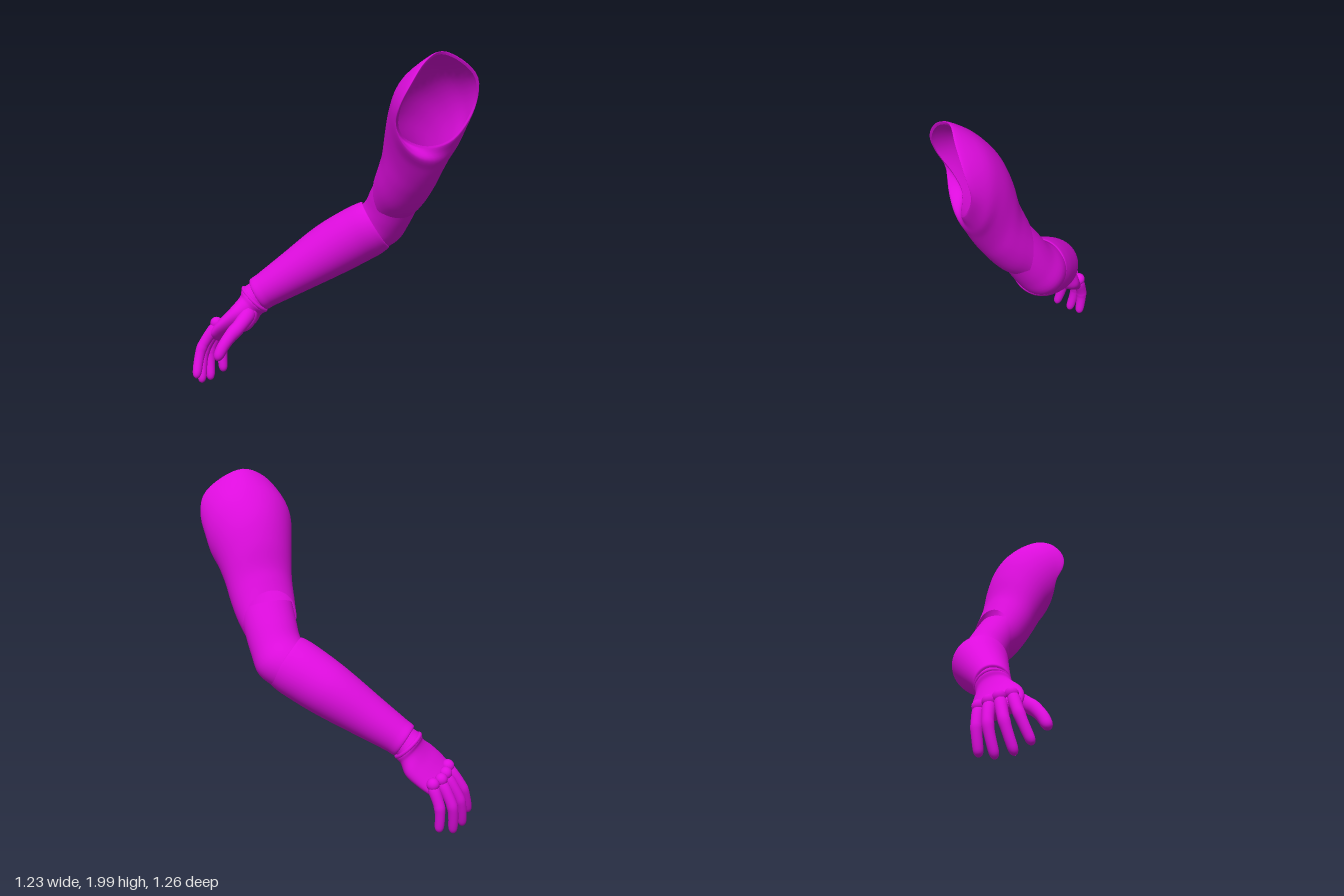
import * as THREE from 'three';

const V = (x, y, z) => new THREE.Vector3(x, y, z);
const N = 48;

// Skin over closed rings of points, smoothed lengthwise
function loft(rings, sub = 5) {
  const cols = [];
  const rows = (rings.length - 1) * sub;
  for (let i = 0; i < N; i++) {
    cols.push(new THREE.CatmullRomCurve3(rings.map(r => r[i])).getPoints(rows));
  }
  const pos = [], idx = [];
  for (let j = 0; j <= rows; j++) for (let i = 0; i < N; i++) pos.push(...cols[i][j].toArray());
  for (let j = 0; j < rows; j++) {
    for (let i = 0; i < N; i++) {
      const k = (i + 1) % N, a = j * N, b = a + N;
      idx.push(a + i, a + k, b + k, a + i, b + k, b + i);
    }
  }
  const g = new THREE.BufferGeometry();
  g.setAttribute('position', new THREE.Float32BufferAttribute(pos, 3));
  g.setIndex(idx);
  g.computeVertexNormals();
  return g;
}

// Ellipse around direction d: radius ra along the hint axis, rb across it
function ring(c, d, hint, ra, rb) {
  d = d.clone().normalize();
  const a = hint.clone().addScaledVector(d, -hint.dot(d)).normalize();
  const b = d.clone().cross(a);
  return Array.from({ length: N }, (_, i) => {
    const t = i / N * Math.PI * 2;
    return c.clone().addScaledVector(a, ra * Math.cos(t)).addScaledVector(b, rb * Math.sin(t));
  });
}

// Sleeve section between an outer and an inner silhouette point, b deep in z
function sleeveRing([lx, ly, rx, ry, zc, b]) {
  return Array.from({ length: N }, (_, i) => {
    const t = i / N * Math.PI * 2, k = (1 + Math.cos(t)) / 2;
    return V(rx + (lx - rx) * k, ry + (ly - ry) * k, zc + b * Math.sin(t));
  });
}

// Round tapered limb with domed ends
function finger(points, r0, r1) {
  const curve = new THREE.CatmullRomCurve3(points);
  const rings = [0, 0.02, 0.08, 0.25, 0.42, 0.5, 0.58, 0.75, 0.88, 0.94, 0.98, 1].map(t => {
    const end = Math.min(1, Math.min(t, 1 - t) / 0.12);
    let r = (r0 + (r1 - r0) * t) * Math.sqrt(Math.max(0.0004, 1 - (1 - end) ** 2));
    if (t === 0.5) r *= 1.06;
    return ring(curve.getPoint(t), curve.getTangent(t), V(0.5, 0.3, 0.81), r, r);
  });
  return loft(rings, 2);
}

export function createModel() {
  const group = new THREE.Group();
  const magenta = new THREE.MeshStandardMaterial({ color: 0xdd0cdd, side: THREE.DoubleSide });
  magenta.name = 'magenta';
  const add = (name, geo) => {
    const m = new THREE.Mesh(geo, magenta);
    m.name = name;
    group.add(m);
    return m;
  };

  // Shoulder and upper arm shell, open towards the body
  const rimCurve = new THREE.CatmullRomCurve3([
    V(0.58, 2, -0.36), V(0.6, 1.95, -0.23), V(0.6, 1.83, -0.13), V(0.55, 1.7, -0.09),
    V(0.48, 1.58, -0.13), V(0.46, 1.5, -0.21), V(0.51, 1.46, -0.32), V(0.56, 1.49, -0.44),
    V(0.57, 1.58, -0.55), V(0.58, 1.71, -0.62), V(0.61, 1.85, -0.6), V(0.605, 1.95, -0.49),
  ], true);
  const rim = Array.from({ length: N }, (_, i) => rimCurve.getPoint(i / N));
  const lip = rim.map(p => p.clone().lerp(V(0.5, 1.72, -0.36), 0.06));
  const sleeve = [
    [0.165, 1.365, 0.212, 1.0, -0.355, 0.163],
    [0.19, 1.42, 0.31, 1.07, -0.357, 0.178],
    [0.22, 1.49, 0.4, 1.175, -0.36, 0.19],
    [0.26, 1.64, 0.455, 1.255, -0.36, 0.205],
    [0.33, 1.79, 0.5, 1.335, -0.36, 0.232],
    [0.45, 1.92, 0.53, 1.4, -0.36, 0.262],
  ].map(sleeveRing);
  add('shoulderAndUpperArm', loft([...sleeve, rim, lip]));

  // Elbow joint, tucked into both shells
  const hinge = V(-0.81, 0.54, -0.21);
  const up = V(-0.55, -0.83, 0), fore = V(-0.52, -0.52, 0.675);
  const mid = up.clone().add(fore);
  add('elbow', loft([
    ring(V(0.25, 1.24, -0.357), up, hinge, 0.125, 0.155),
    ring(V(0.18, 1.14, -0.355), up, hinge, 0.128, 0.152),
    ring(V(0.12, 1.05, -0.35), V(-0.54, -0.77, 0.15), hinge, 0.132, 0.15),
    ring(V(0.06, 0.98, -0.335), mid, hinge, 0.14, 0.158),
    ring(V(0, 0.925, -0.26), fore, hinge, 0.14, 0.15),
    ring(V(-0.06, 0.865, -0.18), fore, hinge, 0.13, 0.13),
  ]));

  // Forearm shell with turned-in ends
  add('forearm', loft([
    ring(V(0.045, 0.975, -0.3), fore, hinge, 0.128, 0.14),
    ring(V(0.055, 0.975, -0.315), fore, hinge, 0.148, 0.158),
    ring(V(0.03, 0.95, -0.285), fore, hinge, 0.16, 0.168),
    ring(V(-0.03, 0.9, -0.22), fore, hinge, 0.165, 0.168),
    ring(V(-0.125, 0.815, -0.11), fore, hinge, 0.162, 0.158),
    ring(V(-0.25, 0.675, 0.07), fore, hinge, 0.13, 0.128),
    ring(V(-0.34, 0.575, 0.2), fore, hinge, 0.106, 0.106),
    ring(V(-0.368, 0.545, 0.237), fore, hinge, 0.1, 0.1),
    ring(V(-0.37, 0.543, 0.24), fore, hinge, 0.08, 0.08),
  ]));

  // Glove: cuff folds, palm and back of the hand
  const across = V(0.5, 0.3, 0.81);
  const reach = V(-0.39, -0.71, 0.59);
  add('palm', loft([
    ring(V(-0.34, 0.58, 0.2), fore, across, 0.085, 0.085),
    ring(V(-0.372, 0.535, 0.245), fore, across, 0.09, 0.088),
    ring(V(-0.383, 0.51, 0.262), reach, across, 0.102, 0.095),
    ring(V(-0.388, 0.485, 0.275), reach, across, 0.103, 0.08),
    ring(V(-0.405, 0.43, 0.31), reach, across, 0.136, 0.074),
    ring(V(-0.44, 0.375, 0.36), reach, across, 0.142, 0.063),
    ring(V(-0.485, 0.315, 0.415), reach, across, 0.13, 0.048),
    ring(V(-0.505, 0.28, 0.437), reach, across, 0.11, 0.034),
    ring(V(-0.51, 0.272, 0.442), reach, across, 0.01, 0.006),
  ]));
  const cuff = add('cuffFold', new THREE.TorusGeometry(0.092, 0.012, 10, 40));
  cuff.position.set(-0.381, 0.518, 0.256);
  cuff.quaternion.setFromUnitVectors(V(0, 0, 1), reach.clone().normalize());

  // Fingers: knuckle, middle joint, tip
  const fingers = {
    indexFinger: [V(-0.45, 0.385, 0.47), V(-0.488, 0.24, 0.56), V(-0.455, 0.07, 0.62)],
    middleFinger: [V(-0.5, 0.365, 0.43), V(-0.545, 0.2, 0.51), V(-0.51, 0.018, 0.552)],
    ringFinger: [V(-0.53, 0.345, 0.385), V(-0.588, 0.19, 0.437), V(-0.56, 0.008, 0.463)],
    littleFinger: [V(-0.545, 0.33, 0.325), V(-0.59, 0.195, 0.355), V(-0.578, 0.04, 0.362)],
  };
  for (const [name, pts] of Object.entries(fingers)) {
    add(name, finger(pts, 0.036, 0.026));
    const k = add(name + 'Knuckle', new THREE.SphereGeometry(0.038, 20, 14));
    k.position.copy(pts[0]).add(V(-0.008, 0, 0.004));
  }

  // Thumb and the mound at its base
  add('thumb', finger([V(-0.345, 0.46, 0.31), V(-0.295, 0.405, 0.4), V(-0.288, 0.315, 0.51), V(-0.29, 0.21, 0.578)], 0.05, 0.03));
  const mound = add('thumbMound', new THREE.SphereGeometry(1, 24, 16));
  mound.scale.set(0.06, 0.06, 0.095);
  mound.position.set(-0.34, 0.42, 0.34);
  mound.lookAt(-0.29, 0.34, 0.44);

  return group;
}
